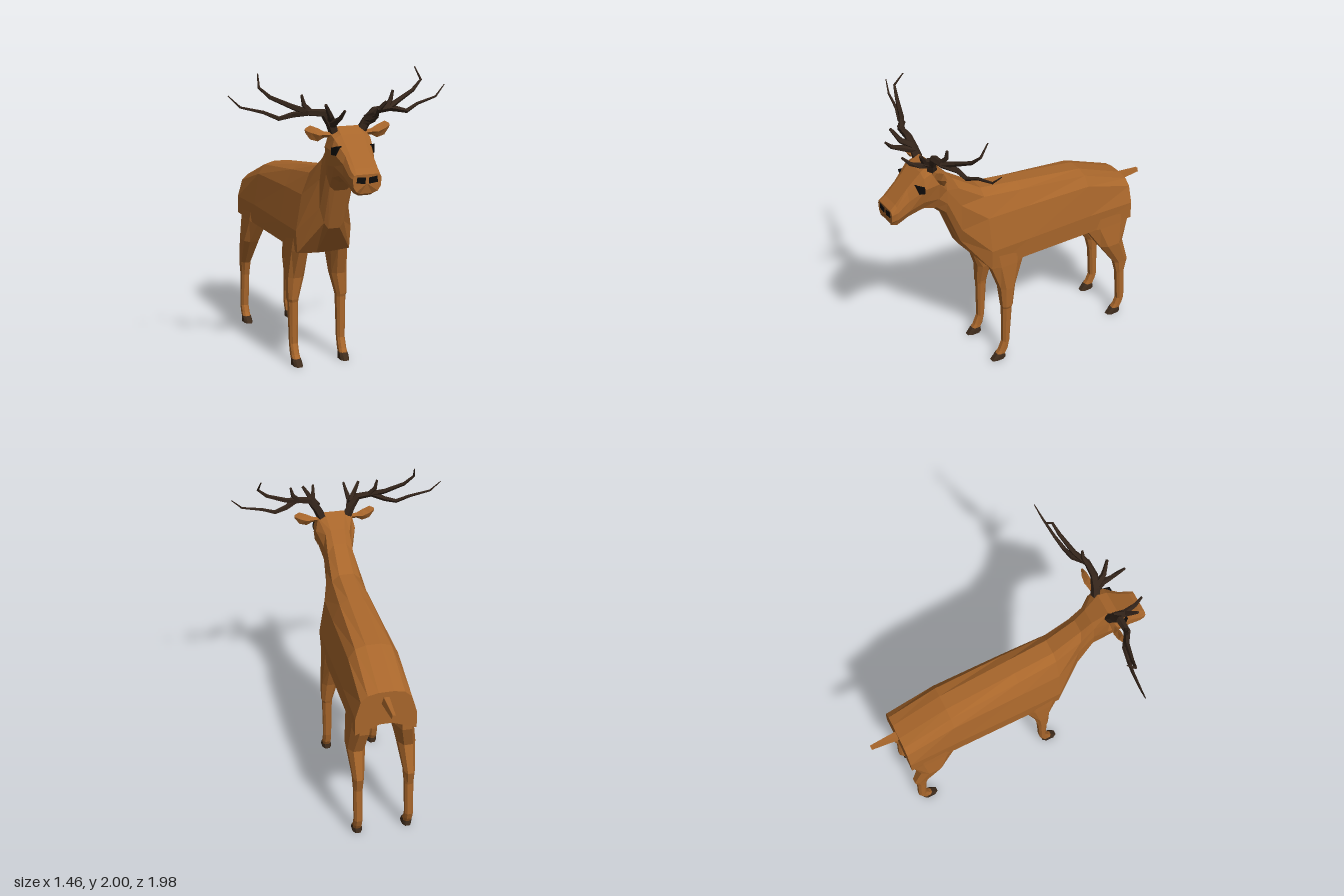
import * as THREE from 'three';

const mat = (color) => new THREE.MeshStandardMaterial({ color, flatShading: true, side: THREE.DoubleSide });
const hide = mat(0xa8662b), antlerMat = mat(0x33241a), hoofMat = mat(0x3f2c1c), black = mat(0x0c0a09);

// Skin a list of equal-length point rings, close both ends, and face outwards
function loft(name, rings, material) {
  const n = rings[0].length, pos = rings.flat(2), idx = [];
  const quad = (a, b, c, d) => idx.push(a, b, c, a, c, d);
  for (let r = 0; r < rings.length - 1; r++)
    for (let i = 0; i < n; i++) {
      const j = (i + 1) % n;
      quad(r * n + i, r * n + j, (r + 1) * n + j, (r + 1) * n + i);
    }
  [0, rings.length - 1].forEach((r, end) => {
    const c = pos.length / 3;
    for (let k = 0; k < 3; k++) pos.push(rings[r].reduce((s, p) => s + p[k], 0) / n);
    for (let i = 0; i < n; i++) {
      const a = r * n + i, b = r * n + (i + 1) % n;
      end ? idx.push(a, b, c) : idx.push(b, a, c);
    }
  });
  const v = (i) => new THREE.Vector3().fromArray(pos, i * 3);
  let volume = 0;
  for (let i = 0; i < idx.length; i += 3) volume += v(idx[i]).dot(v(idx[i + 1]).cross(v(idx[i + 2])));
  if (volume < 0) idx.reverse();
  const g = new THREE.BufferGeometry();
  g.setAttribute('position', new THREE.Float32BufferAttribute(pos, 3));
  g.setIndex(idx);
  const flat = g.toNonIndexed();
  flat.computeVertexNormals();
  const mesh = new THREE.Mesh(flat, material);
  mesh.name = name;
  return mesh;
}

// Half section (top to bottom) mirrored into a full ring; z comes per point or per section
const fullRing = (z, half) => {
  const h = half.map(([x, y, pz]) => [x, y, pz ?? z]);
  return [...h, ...h.map(([x, y, pz]) => [-x, y, pz]).reverse()];
};

// Horizontal chamfered ring of a leg: height, z range, x range
const legRing = (s) => ([y, z0, z1, x0, x1]) => {
  const cx = (x1 - x0) * 0.25, cz = (z1 - z0) * 0.25;
  return [[x0 + cx, z0], [x1 - cx, z0], [x1, z0 + cz], [x1, z1 - cz],
    [x1 - cx, z1], [x0 + cx, z1], [x0, z1 - cz], [x0, z0 + cz]].map(([x, z]) => [x * s, y, z]);
};

// Tapered five-sided branch along a polyline
function branch(name, s, points, r0, r1) {
  const p = points.map(([x, y, z]) => new THREE.Vector3(x * s, y, z));
  const ref = new THREE.Vector3(0, 0.3, 1).normalize();
  const rings = p.map((c, i) => {
    const t = p[Math.min(i + 1, p.length - 1)].clone().sub(p[Math.max(i - 1, 0)]).normalize();
    const u = new THREE.Vector3().crossVectors(t, ref).normalize();
    const w = new THREE.Vector3().crossVectors(t, u);
    const r = r0 + (r1 - r0) * i / (p.length - 1);
    return [0, 1, 2, 3, 4].map((k) => {
      const a = k * Math.PI * 0.4;
      return c.clone().addScaledVector(u, r * Math.cos(a)).addScaledVector(w, r * Math.sin(a)).toArray();
    });
  });
  return loft(name, rings, antlerMat);
}

export function createModel() {
  const model = new THREE.Group();
  model.name = 'stag';

  // Trunk and neck
  const neckEnd = fullRing(0.6, [[0.05, 1.58], [0.085, 1.55], [0.1, 1.46], [0.1, 1.36], [0.075, 1.28], [0.04, 1.25]]);
  model.add(loft('body', [
    fullRing(-0.8, [[0.05, 1.115], [0.12, 1.1], [0.165, 1.06], [0.2, 0.94], [0.2, 0.82], [0.04, 0.88]]),
    fullRing(-0.45, [[0.05, 1.255], [0.12, 1.235], [0.165, 1.17], [0.2, 0.95], [0.195, 0.81], [0.04, 0.78]]),
    fullRing(0.05, [[0.05, 1.325], [0.11, 1.29], [0.16, 1.18], [0.2, 0.945], [0.195, 0.81], [0.03, 0.715]]),
    fullRing(0.33, [[0.05, 1.365], [0.1, 1.32], [0.155, 1.18], [0.195, 0.94], [0.185, 0.79], [0.05, 0.78]]),
    fullRing(0.5, [[0.045, 1.5, 0.53], [0.09, 1.44, 0.51], [0.1, 1.31], [0.1, 1.12], [0.07, 1.02], [0.04, 0.98]]),
    neckEnd,
  ], hide));

  // Head, from the nape to the muzzle
  model.add(loft('head', [
    neckEnd,
    fullRing(0.67, [[0.07, 1.675, 0.7], [0.12, 1.64, 0.69], [0.14, 1.55], [0.12, 1.43], [0.09, 1.35], [0.04, 1.32]]),
    fullRing(0.77, [[0.075, 1.635], [0.12, 1.61], [0.14, 1.54], [0.12, 1.44], [0.09, 1.38], [0.04, 1.36]]),
    fullRing(0.87, [[0.065, 1.545, 0.86], [0.09, 1.52], [0.105, 1.47], [0.105, 1.4], [0.08, 1.35], [0.04, 1.33]]),
    fullRing(0.95, [[0.065, 1.455], [0.09, 1.445], [0.1, 1.41], [0.098, 1.36], [0.075, 1.31], [0.04, 1.29]]),
    fullRing(0.99, [[0.07, 1.425], [0.085, 1.42], [0.095, 1.4], [0.09, 1.35], [0.07, 1.32], [0.04, 1.305, 0.975]]),
  ], hide));

  // Tail
  const tailRing = (z, w, y0, y1) => [[w, y0, z], [w * 0.6, y1, z], [-w * 0.6, y1, z], [-w, y0, z]];
  model.add(loft('tail', [tailRing(-0.77, 0.033, 1.03, 1.08), tailRing(-0.99, 0.016, 1.04, 1.065)], hide));

  for (const s of [1, -1]) {
    const side = s > 0 ? 'left' : 'right';
    const ring = legRing(s);

    // Legs with cloven-style pointed feet
    model.add(loft(side + 'FrontLeg', [
      [0.97, 0.08, 0.36, 0.09, 0.185], [0.79, 0.08, 0.325, 0.08, 0.2], [0.6, 0.15, 0.262, 0.1, 0.212],
      [0.45, 0.175, 0.255, 0.138, 0.212], [0.43, 0.18, 0.25, 0.14, 0.205], [0.14, 0.2, 0.25, 0.145, 0.2],
      [0.07, 0.215, 0.28, 0.145, 0.2], [0.035, 0.235, 0.305, 0.143, 0.2],
    ].map(ring), hide));
    model.add(loft(side + 'FrontHoof', [
      [0.045, 0.235, 0.3, 0.143, 0.2], [0.03, 0.235, 0.315, 0.14, 0.202], [0, 0.23, 0.34, 0.138, 0.202],
    ].map(ring), hoofMat));
    model.add(loft(side + 'HindLeg', [
      [0.97, -0.795, -0.46, 0.08, 0.19], [0.81, -0.797, -0.45, 0.075, 0.205], [0.65, -0.74, -0.555, 0.11, 0.225],
      [0.46, -0.8, -0.69, 0.135, 0.205], [0.36, -0.78, -0.715, 0.142, 0.2], [0.12, -0.79, -0.732, 0.145, 0.2],
      [0.07, -0.775, -0.71, 0.145, 0.2], [0.035, -0.755, -0.685, 0.143, 0.2],
    ].map(ring), hide));
    model.add(loft(side + 'HindHoof', [
      [0.045, -0.755, -0.69, 0.143, 0.2], [0.03, -0.755, -0.675, 0.14, 0.202], [0, -0.76, -0.65, 0.138, 0.202],
    ].map(ring), hoofMat));

    // Leaf-shaped ear
    const earRing = (x, yLow, yHigh, d) => {
      const y = (yLow + yHigh) / 2;
      return [[x * s, yLow, 0.7], [x * s, y, 0.7 + d], [x * s, yHigh, 0.7], [x * s, y, 0.7 - d]];
    };
    model.add(loft(side + 'Ear', [
      earRing(0.1, 1.61, 1.64, 0.012), earRing(0.16, 1.61, 1.65, 0.018), earRing(0.2, 1.59, 1.672, 0.026),
      earRing(0.25, 1.605, 1.692, 0.02), earRing(0.283, 1.65, 1.675, 0.006),
    ], hide));

    // Eye and nostril
    const eyeRing = (x) => [[0.825, 1.575], [0.775, 1.56], [0.775, 1.515], [0.81, 1.515]]
      .map(([z, y]) => [(x - Math.max(0, z - 0.77) * 0.35) * s, y, z]);
    model.add(loft(side + 'Eye', [eyeRing(0.115), eyeRing(0.144)], black));
    const nostrilRing = (z) => [[0.01, 1.405], [0.065, 1.412], [0.07, 1.375], [0.014, 1.368]].map(([x, y]) => [x * s, y, z]);
    model.add(loft(side + 'Nostril', [nostrilRing(0.98), nostrilRing(0.993)], black));

    // Antler: main beam, upper fork and tines
    const antler = new THREE.Group();
    antler.name = side + 'Antler';
    antler.add(
      branch('beam', s, [[0.09, 1.64, 0.7], [0.12, 1.7, 0.71], [0.17, 1.765, 0.72], [0.27, 1.775, 0.72],
        [0.35, 1.755, 0.66], [0.43, 1.735, 0.645], [0.52, 1.775, 0.62], [0.66, 1.81, 0.6], [0.73, 1.88, 0.58]], 0.034, 0.003),
      branch('fork', s, [[0.27, 1.775, 0.715], [0.35, 1.805, 0.67], [0.48, 1.865, 0.63], [0.545, 1.925, 0.61], [0.53, 2, 0.55]], 0.022, 0.004),
      branch('browTine', s, [[0.11, 1.69, 0.71], [0.125, 1.715, 0.79], [0.12, 1.75, 0.86], [0.11, 1.8, 0.905]], 0.026, 0.008),
      branch('innerTine', s, [[0.12, 1.72, 0.72], [0.15, 1.755, 0.78], [0.2, 1.83, 0.825]], 0.028, 0.01),
      branch('middleTine', s, [[0.25, 1.77, 0.72], [0.29, 1.82, 0.7], [0.305, 1.88, 0.7]], 0.022, 0.008),
    );
    model.add(antler);
  }
  return model;
}
